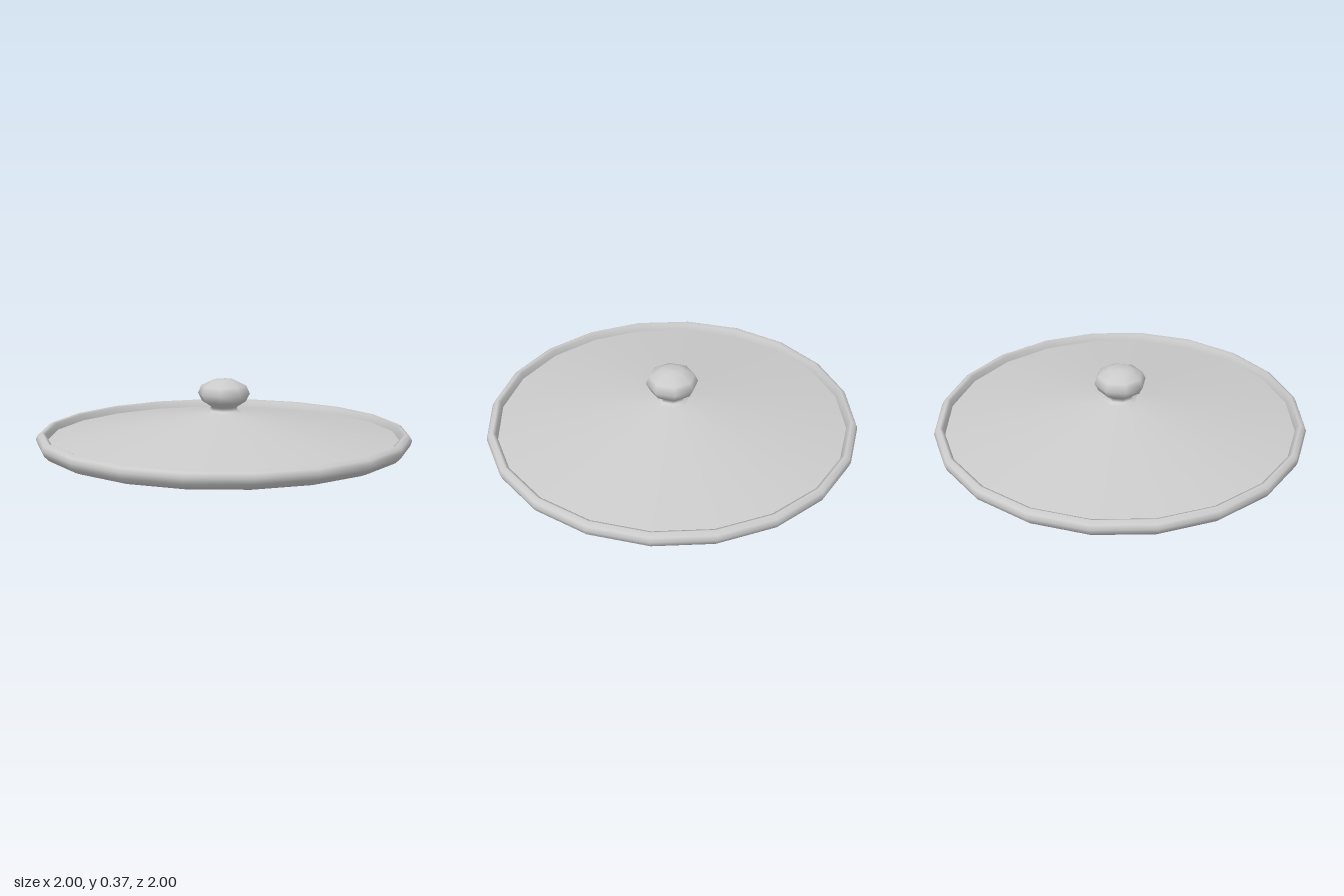
import * as THREE from 'three';

const material = new THREE.MeshStandardMaterial({ color: 0xcccccc, side: THREE.DoubleSide });

// Revolves a smooth [radius, height] profile around y.
function turned(name, profile, sides, turn = 0) {
  const points = profile.map(([r, y]) => new THREE.Vector2(r, y));
  const mesh = new THREE.Mesh(new THREE.LatheGeometry(points, sides, turn), material);
  mesh.name = name;
  return mesh;
}

export function createModel() {
  const lid = new THREE.Group();
  lid.name = 'lid';

  // Rounded rim, with a low lip underneath
  lid.add(turned('rim', [
    [0.885, 0.03], [0.91, 0.003], [0.935, 0], [0.965, 0.012], [0.99, 0.037], [1, 0.065],
    [0.99, 0.087], [0.967, 0.1], [0.95, 0.092], [0.94, 0.05],
  ], 20));

  // Shallow cone on top and the hollow underside
  lid.add(turned('coneTop', [[0.943, 0.057], [0.67, 0.1], [0.38, 0.146], [0.08, 0.193]], 20));
  lid.add(turned('underside', [[0, 0.165], [0.1, 0.153], [0.5, 0.092], [0.885, 0.03]], 20));

  // Eight-sided knob on a flared neck
  lid.add(turned('knob', [
    [0.105, 0.187], [0.075, 0.2], [0.07, 0.217], [0.118, 0.248], [0.14, 0.29],
    [0.122, 0.333], [0.06, 0.363], [0, 0.367],
  ], 8, -0.1));

  return lid;
}
